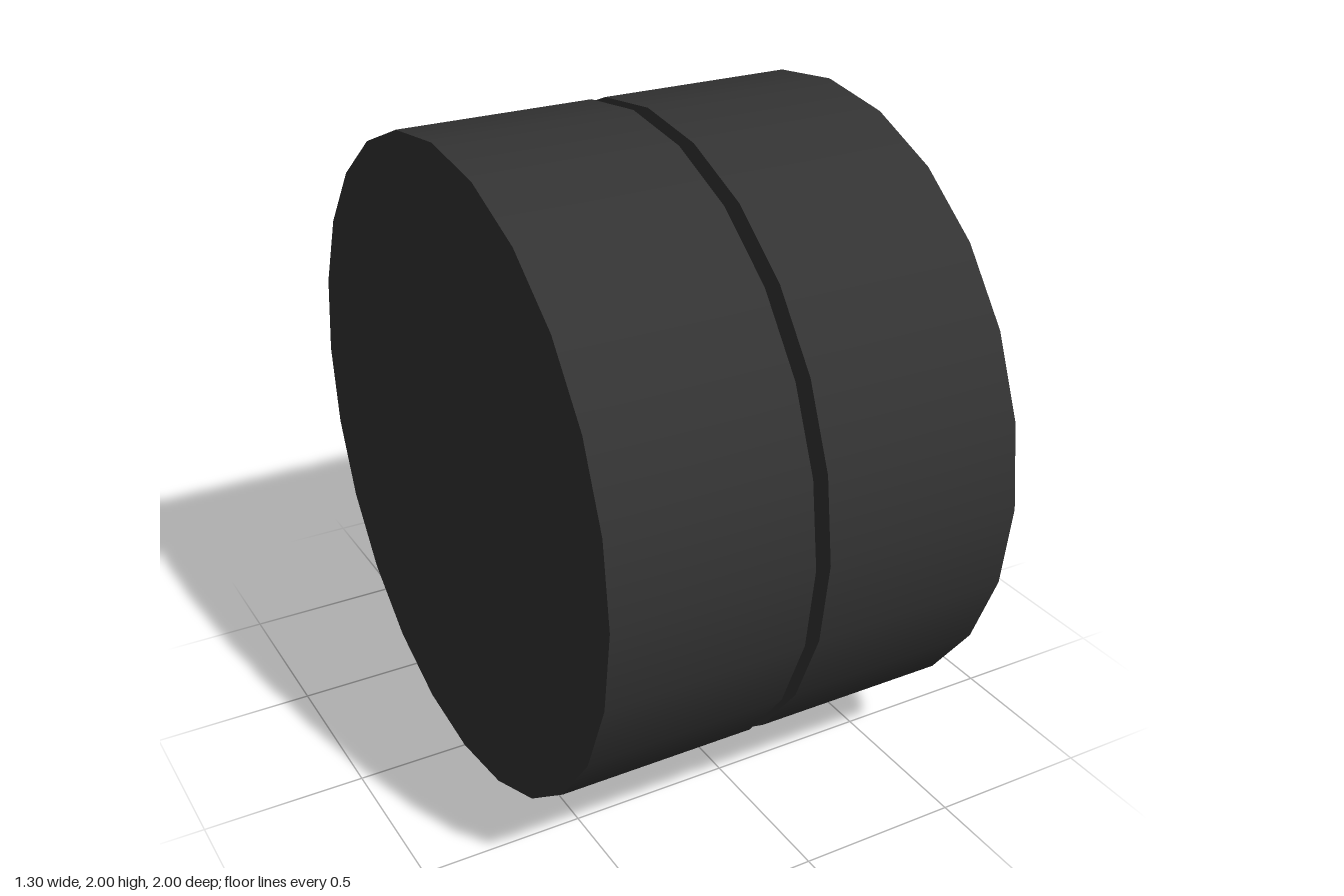
import * as THREE from 'three';
import { mergeGeometries } from 'three/addons/utils/BufferGeometryUtils.js';

const rubber = new THREE.MeshStandardMaterial({ color: 0x333333 });
rubber.name = 'black rubber';
const metal = new THREE.MeshStandardMaterial({ color: 0x555962, side: THREE.DoubleSide });
metal.name = 'grey metal';

// Turned surface with a sharp edge at every profile point [radius, axial position]
function turned(profile, sides, phi = 0) {
  const bands = [];
  for (let i = 0; i + 1 < profile.length; i++) {
    const pts = [profile[i], profile[i + 1]].map(([r, y]) => new THREE.Vector2(r, y));
    bands.push(new THREE.LatheGeometry(pts, sides, phi));
  }
  return mergeGeometries(bands);
}

// Ten tapering spokes that slope from the hub back to the rim wall
function spokes(r0, y0, half0, r1, y1, half1) {
  const pos = [], index = [];
  for (let k = 0; k < 10; k++) {
    const a = k * Math.PI / 5, n = k * 4;
    for (const [r, y, da] of [[r1, y1, -half1], [r1, y1, half1], [r0, y0, half0], [r0, y0, -half0]]) {
      pos.push(r * Math.sin(a + da), y, r * Math.cos(a + da));
    }
    index.push(n, n + 1, n + 2, n, n + 2, n + 3);
  }
  const g = new THREE.BufferGeometry();
  g.setAttribute('position', new THREE.Float32BufferAttribute(pos, 3));
  g.setIndex(index);
  g.computeVertexNormals();
  return g;
}

export function createModel() {
  const model = new THREE.Group();
  model.name = 'dualWheel';
  // The wheels are turned about y, then laid over so that y points along +x
  const axle = new THREE.Group();
  axle.name = 'wheels';
  axle.rotation.z = -Math.PI / 2;
  axle.position.y = 1;
  model.add(axle);

  const add = (name, geometry, material) => {
    const mesh = new THREE.Mesh(geometry, material);
    mesh.name = name;
    axle.add(mesh);
    return mesh;
  };
  const deg = Math.PI / 180;

  // Plain closed inner wheel
  add('innerTyre', turned([[0, -0.65], [1, -0.65], [1, -0.027], [0, -0.027]], 24), rubber);

  // Outer tyre, closed behind and open in the middle of its outer face
  add('outerTyre', turned([[0, 0.02], [1, 0.02], [1, 0.65], [0.65, 0.65]], 24), rubber);
  add('wheelWell', turned([[0.56, 0.04], [0, 0.04]], 24), rubber);

  // Rim lip and the wall of the recess
  add('rim', turned([[0.65, 0.65], [0.55, 0.65], [0.55, 0.04]], 24), metal);

  // Hub plate with a sloped edge, and spokes out to the wall
  add('hubPlate', turned([[0.43, 0.455], [0.39, 0.475], [0, 0.475]], 20, 9 * deg), metal);
  add('spokes', spokes(0.43, 0.455, 9 * deg, 0.552, 0.395, 6.7 * deg), metal);

  // Ten-sided centre cap
  const cap = add('hubCap', turned([[0.19, 0.47], [0.19, 0.575], [0, 0.575]], 10).toNonIndexed(), rubber);
  cap.geometry.computeVertexNormals();

  return model;
}
